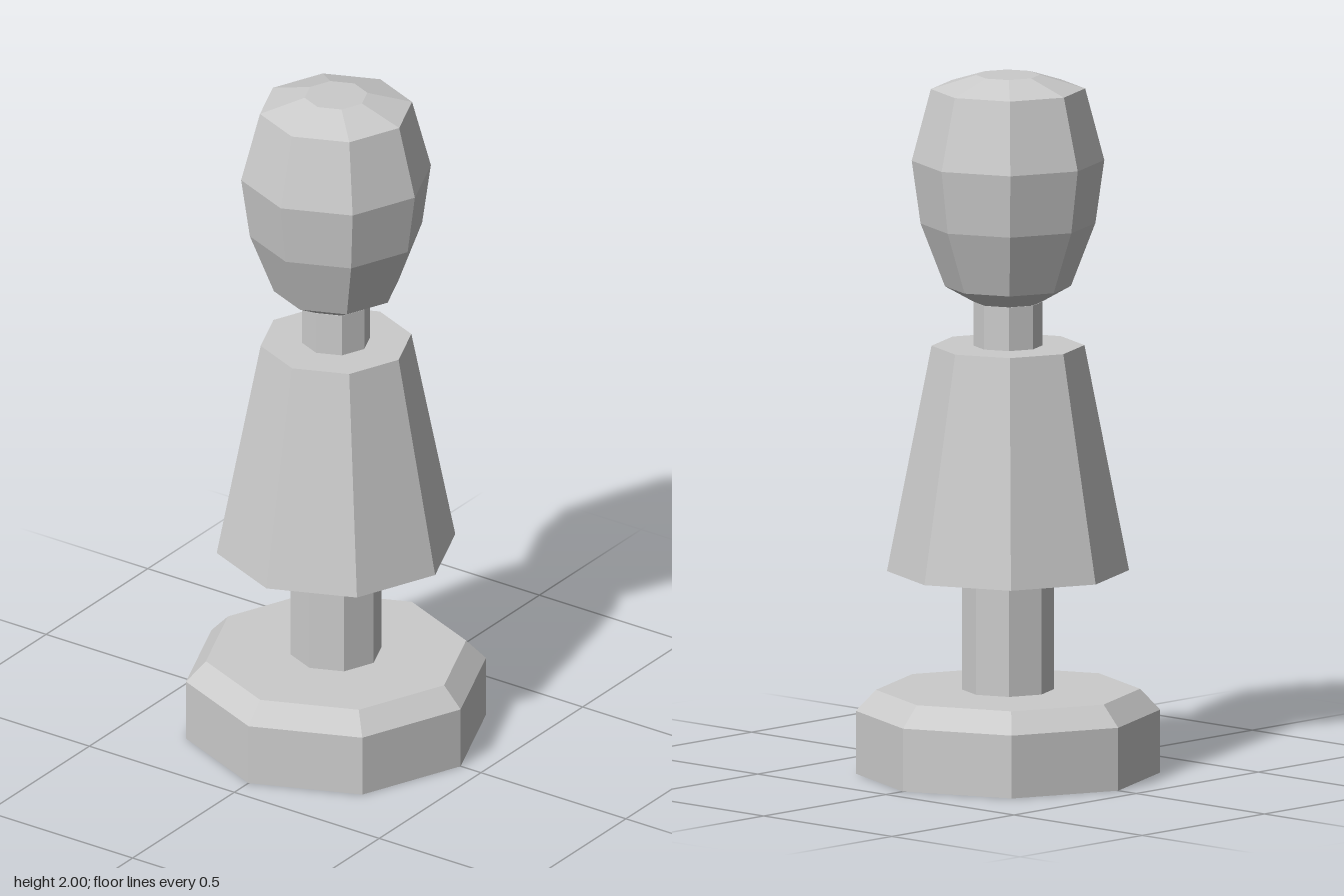
import * as THREE from 'three';

const SIDES = 8;
const material = new THREE.MeshStandardMaterial({ color: 0xcccccc, flatShading: true });

// Closed octagonal solid from a bottom-to-top list of [radius, height]
function turned(name, profile) {
  const rings = [[0, profile[0][1]], ...profile, [0, profile[profile.length - 1][1]]];
  const points = rings.map(([r, y]) => new THREE.Vector2(r, y));
  const mesh = new THREE.Mesh(new THREE.LatheGeometry(points, SIDES), material);
  mesh.name = name;
  return mesh;
}

export function createModel() {
  const model = new THREE.Group();
  model.name = 'pawnFigure';
  model.add(
    // Chamfered foot plate
    turned('base', [[0.43, 0], [0.43, 0.18], [0.373, 0.24]]),
    // Post between base and body
    turned('post', [[0.13, 0.24], [0.13, 0.58]]),
    // Flared body
    turned('body', [[0.342, 0.58], [0.216, 1.225]]),
    // Neck
    turned('neck', [[0.098, 1.225], [0.098, 1.35]]),
    // Faceted egg-shaped head
    turned('head', [
      [0.096, 1.35], [0.178, 1.395], [0.247, 1.575],
      [0.272, 1.755], [0.218, 1.96], [0.09, 2],
    ]),
  );
  return model;
}
